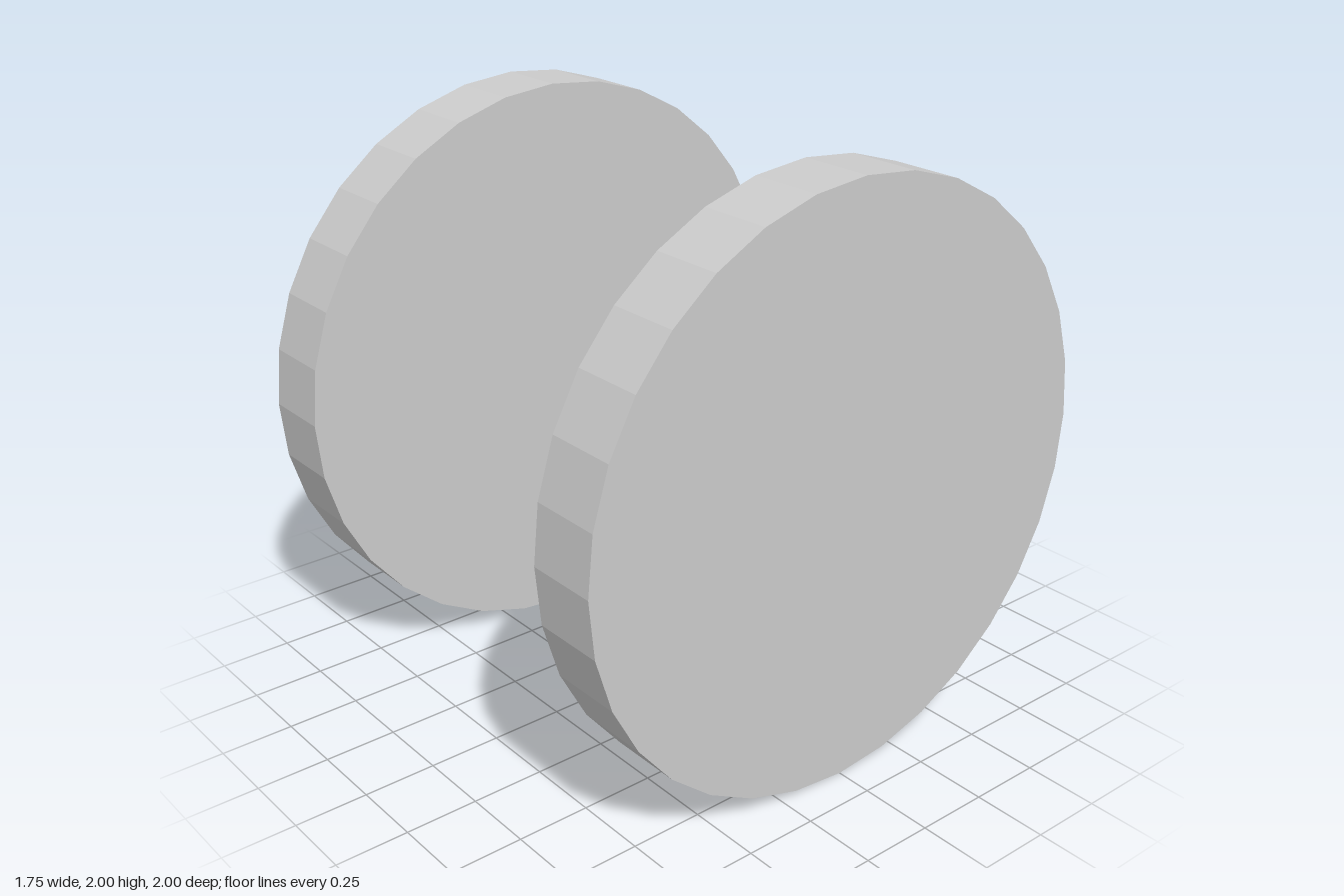
import * as THREE from 'three';

const RADIUS = 1;
const WIDTH = 0.25;
const OFFSET = 0.75; // wheel centre distance from the middle
const SIDES = 32;

export function createModel() {
  const model = new THREE.Group();
  model.name = 'wheelPair';

  const material = new THREE.MeshStandardMaterial({ color: 0xcccccc, flatShading: true });

  // Solid faceted disc with its axle direction along x
  const disc = new THREE.CylinderGeometry(RADIUS, RADIUS, WIDTH, SIDES);
  disc.rotateZ(Math.PI / 2);

  // One wheel on each side
  for (const [name, side] of [['leftWheel', 1], ['rightWheel', -1]]) {
    const wheel = new THREE.Mesh(disc, material);
    wheel.name = name;
    wheel.position.set(side * OFFSET, RADIUS, 0);
    model.add(wheel);
  }

  return model;
}
